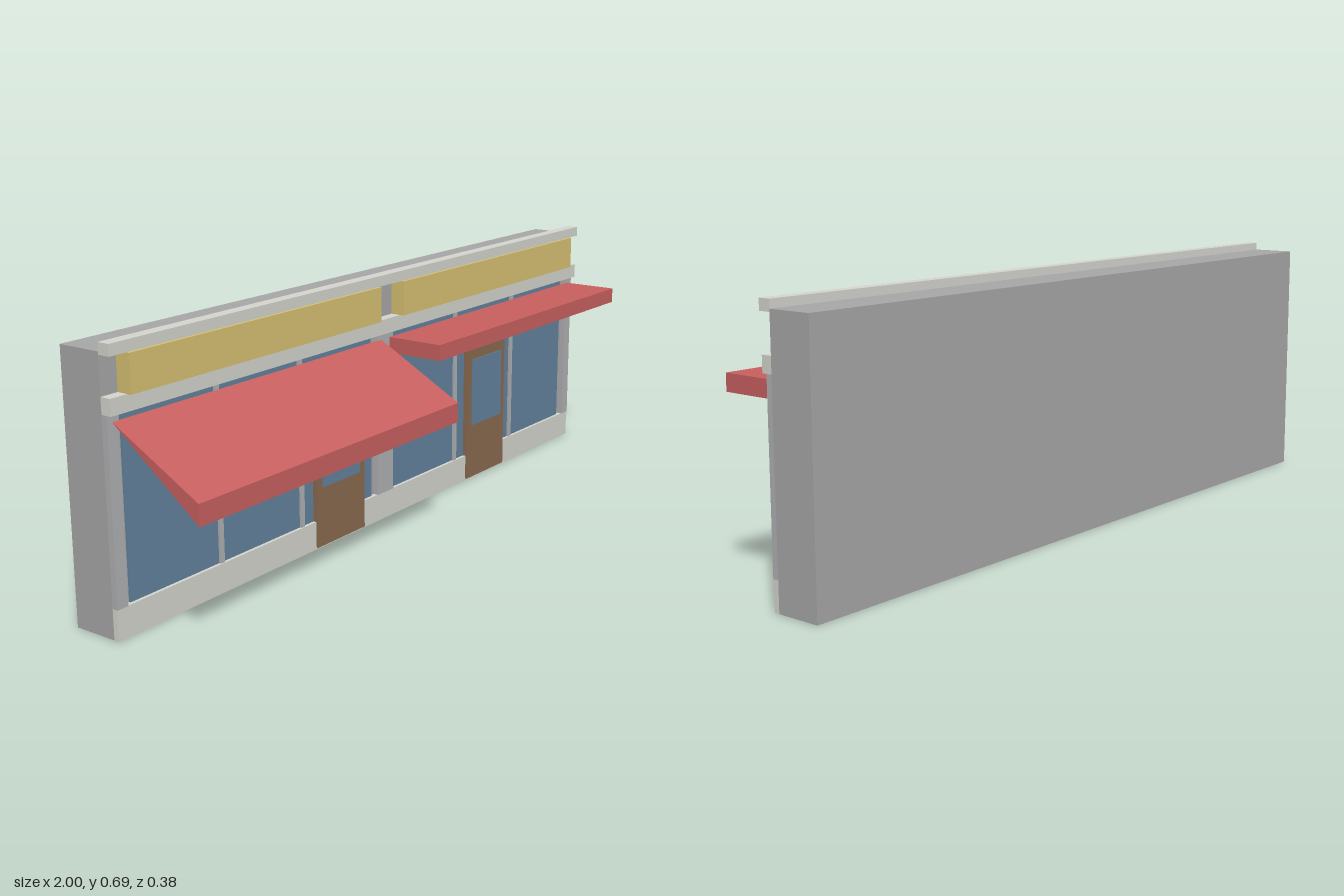
import * as THREE from 'three';

const mat = (color, side = THREE.FrontSide) => new THREE.MeshStandardMaterial({ color, side });

export function createModel() {
  const model = new THREE.Group();
  const wall = mat(0xa8a8a8, THREE.DoubleSide);
  const trim = mat(0xd6d6d0);
  const pillar = mat(0xb0b1b4);
  const glass = mat(0x64839e);
  const wood = mat(0x8a6a50);
  const cloth = mat(0xc96060);
  const sign = mat(0xd8c272);

  const FRONT = -0.071, BACK = -0.191, TOP = 0.667;

  function add(name, geometry, material, parent = model) {
    const mesh = new THREE.Mesh(geometry, material);
    mesh.name = name;
    parent.add(mesh);
    return mesh;
  }

  // Box given by its limits on each axis
  function box(name, [x0, x1], [y0, y1], [z0, z1], material, parent) {
    const mesh = add(name, new THREE.BoxGeometry(x1 - x0, y1 - y0, z1 - z0), material, parent);
    mesh.position.set((x0 + x1) / 2, (y0 + y1) / 2, (z0 + z1) / 2);
    return mesh;
  }

  // Thin building shell, open underneath, with a wall between the two shops
  const shell = new THREE.Group();
  shell.name = 'buildingShell';
  model.add(shell);
  const depth = FRONT - BACK, midZ = (FRONT + BACK) / 2;
  for (const [name, z, turn] of [['frontWall', FRONT, 0], ['backWall', BACK, Math.PI]]) {
    const mesh = add(name, new THREE.PlaneGeometry(2, TOP), wall, shell);
    mesh.position.set(0, TOP / 2, z);
    mesh.rotation.y = turn;
  }
  for (const [name, x] of [['rightWall', -1], ['partyWall', 0], ['leftWall', 1]]) {
    const mesh = add(name, new THREE.PlaneGeometry(depth, TOP), wall, shell);
    mesh.position.set(x, TOP / 2, midZ);
    mesh.rotation.y = x < 0 ? -Math.PI / 2 : Math.PI / 2;
  }
  const roof = add('roof', new THREE.PlaneGeometry(2, depth), wall, shell);
  roof.position.set(0, TOP, midZ);
  roof.rotation.x = -Math.PI / 2;

  // Horizontal bands across both shops
  box('plinth', [-1, 1], [0, 0.076], [FRONT, -0.057], trim);
  box('lowerCornice', [-1, 1], [0.527, 0.567], [FRONT, -0.042], trim);
  box('topCornice', [-1, 1], [0.66, 0.688], [FRONT, -0.038], trim);

  // Pilasters at the ends and the middle
  for (const [x0, x1] of [[-1, -0.967], [-0.035, 0.035], [0.967, 1]])
    box('pilaster', [x0, x1], [0.076, 0.527], [FRONT, -0.055], pillar);

  // Each shop: sign, three panes, mullions and a glazed door
  for (const [side, cx, doorX] of [['right', -0.5, -0.2], ['left', 0.5, 0.5]]) {
    const shop = new THREE.Group();
    shop.name = side + 'Shop';
    model.add(shop);
    box('signBoard', [cx - 0.45, cx + 0.45], [0.567, 0.66], [FRONT, -0.03], sign, shop);
    for (let i = -1; i <= 1; i++) {
      const x = cx + i * 0.303;
      box('windowPane', [x - 0.147, x + 0.147], [0.076, 0.527], [FRONT, -0.066], glass, shop);
    }
    for (const s of [-1, 1]) {
      const x = cx + s * 0.1515;
      box('mullion', [x - 0.007, x + 0.007], [0.076, 0.527], [FRONT, -0.06], pillar, shop);
    }
    box('door', [doorX - 0.1, doorX + 0.1], [0.005, 0.41], [FRONT, -0.052], wood, shop);
    box('doorGlass', [doorX - 0.078, doorX + 0.078], [0.167, 0.367], [-0.054, -0.049], glass, shop);
  }

  // Flat canopy over one shop
  box('flatCanopy', [0.02, 0.975], [0.467, 0.51], [-0.056, 0.109], cloth);

  // Sloping awning: wedge profile (drawn as -z, y) swept along x
  const profile = new THREE.Shape([[0.056, 0.51], [-0.193, 0.323], [-0.193, 0.375]]
    .map(([u, v]) => new THREE.Vector2(u, v)));
  const awning = add('slopedAwning',
    new THREE.ExtrudeGeometry(profile, { depth: 0.968, bevelEnabled: false }), cloth);
  awning.rotation.y = Math.PI / 2;
  awning.position.x = -0.985;

  return model;
}
